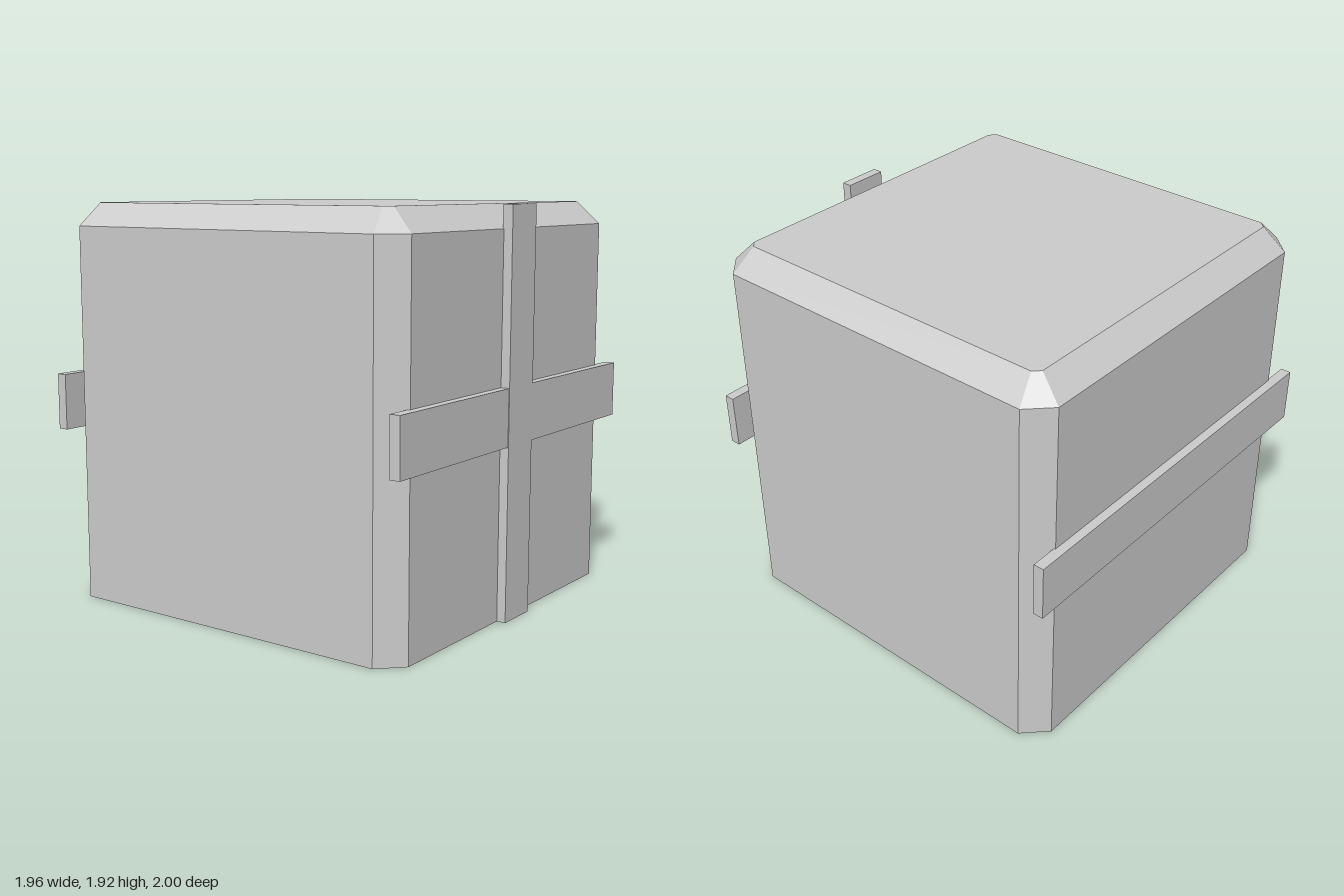
import * as THREE from 'three';

// Eight-cornered square ring at height y: half width h, corners cut at c
function ring(h, c, y) {
  return [[h, -c], [h, c], [c, h], [-c, h], [-h, c], [-h, -c], [-c, -h], [c, -h]]
    .map(([x, z]) => [x, y, z]);
}

// Chamfered box skinned from cross-sections
function bodyGeometry() {
  const rings = [ring(0.956, 0.847, 0), ring(0.956, 0.847, 1.808), ring(0.847, 0.815, 1.917)];
  const pos = [];
  const tri = (a, b, c) => pos.push(...a, ...b, ...c);

  // walls and sloped upper edge
  for (let r = 0; r < rings.length - 1; r++) {
    for (let i = 0; i < 8; i++) {
      const j = (i + 1) % 8;
      const [lo, hi] = [rings[r], rings[r + 1]];
      tri(lo[j], lo[i], hi[i]);
      tri(lo[j], hi[i], hi[j]);
    }
  }
  // top face
  const top = rings[2];
  for (let i = 1; i < 7; i++) tri(top[0], top[i + 1], top[i]);
  // base plate spans every other corner, leaving narrow gaps along the walls
  const base = rings[0];
  tri(base[1], base[3], base[5]);
  tri(base[1], base[5], base[7]);

  const geo = new THREE.BufferGeometry();
  geo.setAttribute('position', new THREE.Float32BufferAttribute(pos, 3));
  geo.computeVertexNormals();
  return geo;
}

export function createModel() {
  const group = new THREE.Group();
  const lightGrey = new THREE.MeshStandardMaterial({ color: 0xcccccc, side: THREE.DoubleSide });
  lightGrey.name = 'lightGrey';

  const body = new THREE.Mesh(bodyGeometry(), lightGrey);
  body.name = 'body';
  group.add(body);

  // Flat bars given by their extents
  function bar(name, x, y0, y1, z0, z1) {
    const mesh = new THREE.Mesh(new THREE.BoxGeometry(2 * x, y1 - y0, z1 - z0), lightGrey);
    mesh.position.set(0, (y0 + y1) / 2, (z0 + z1) / 2);
    mesh.name = name;
    group.add(mesh);
  }
  bar('frontCrossBar', 0.982, 0.826, 1.096, 0.945, 0.997);
  bar('frontUprightBar', 0.108, 0, 1.917, 0.951, 1);
  bar('backCrossBar', 0.982, 0.826, 1.096, -1, -0.949);

  return group;
}
